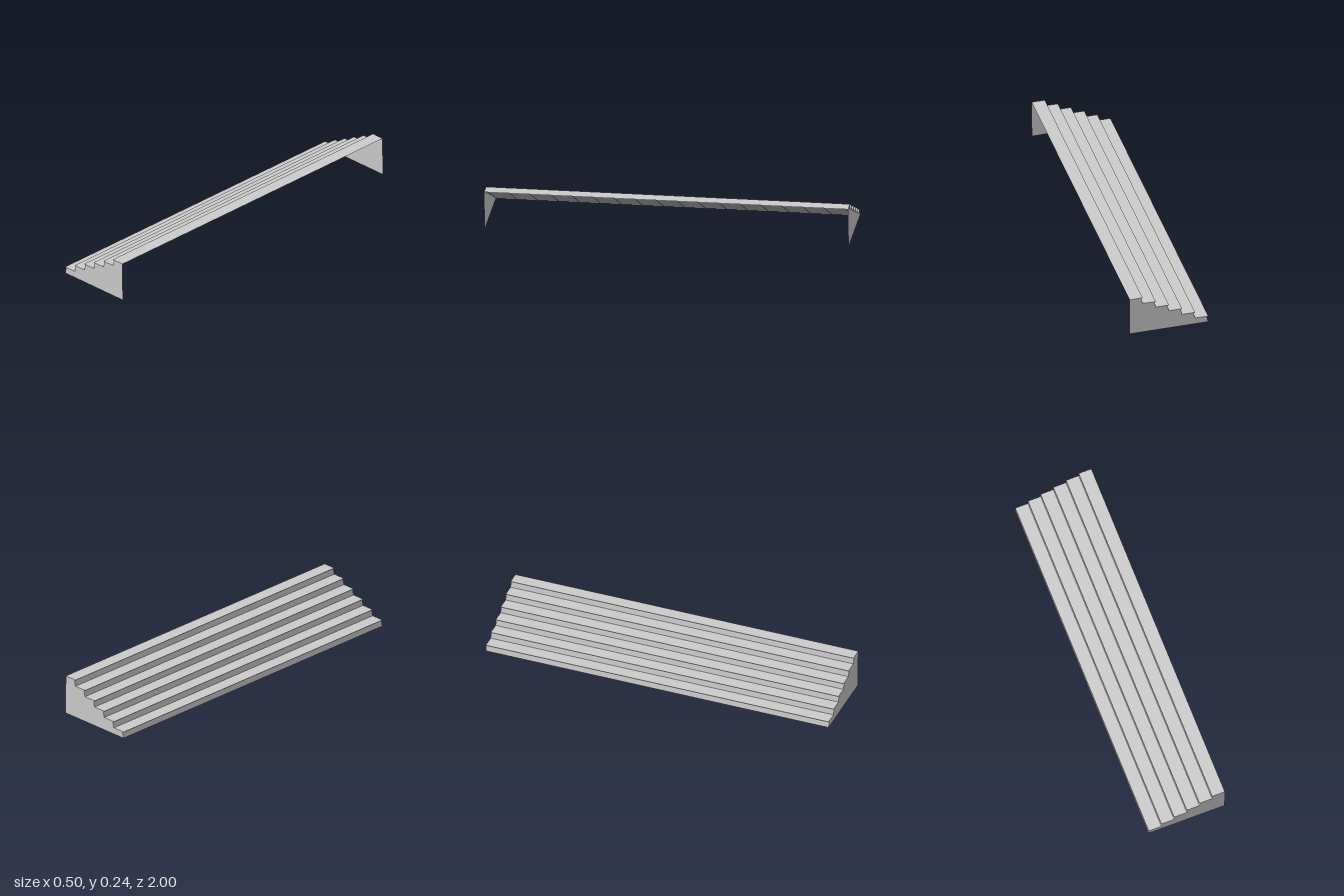
import * as THREE from 'three';

const STEPS = 6, RUN = 0.0735, RISE = 0.037, LENGTH = 1.987;
const WIDTH = STEPS * RUN;

// one step: riser leaning back, small nosing, then the tread edge
const STEP = [[0, 0], [0.007, 0.028], [0.0055, 0.033], [0, RISE]];

// a thin strip running the full length between two profile points
function strip([x0, y0], [x1, y1], material, name) {
  const h = LENGTH / 2;
  const geometry = new THREE.BufferGeometry();
  geometry.setAttribute('position', new THREE.Float32BufferAttribute([
    x0, y0, -h, x0, y0, h, x1, y1, h, x1, y1, -h,
  ], 3));
  geometry.setIndex([0, 1, 2, 0, 2, 3]);
  geometry.computeVertexNormals();
  const mesh = new THREE.Mesh(geometry, material);
  mesh.name = name;
  return mesh;
}

export function createModel() {
  const material = new THREE.MeshStandardMaterial({ color: 0xcccccc, side: THREE.DoubleSide, flatShading: true });
  const stairs = new THREE.Group();
  stairs.name = 'stairs';

  // stepped profile, climbing towards +x
  const profile = [];
  for (let i = 0; i < STEPS; i++) {
    const at = (x, y) => [x + i * RUN - WIDTH / 2, y + i * RISE];
    const points = STEP.map(([x, y]) => at(x, y));
    const treadEnd = at(RUN, RISE);
    profile.push(...points);

    const step = new THREE.Group();
    step.name = 'step' + (i + 1);
    step.add(
      strip(points[0], points[1], material, 'riser'),
      strip(points[1], points[2], material, 'nosingLower'),
      strip(points[2], points[3], material, 'nosingUpper'),
      strip(points[3], treadEnd, material, 'tread'),
    );
    stairs.add(step);
  }

  // end panels; the underside and tall rear side stay open
  const outline = [[WIDTH / 2, 0], [WIDTH / 2, STEPS * RISE], ...profile.slice().reverse()];
  const panel = new THREE.ShapeGeometry(new THREE.Shape(outline.map(([x, y]) => new THREE.Vector2(x, y))));
  for (const [name, side] of [['frontEndPanel', 1], ['backEndPanel', -1]]) {
    const mesh = new THREE.Mesh(panel, material);
    mesh.name = name;
    mesh.position.z = side * LENGTH / 2;
    stairs.add(mesh);
  }

  // slight turn and tilt of the whole flight
  stairs.rotation.set(0.009, 0.0285, 0);
  stairs.position.y = 0.009;

  const model = new THREE.Group();
  model.name = 'staircase';
  model.add(stairs);
  return model;
}
